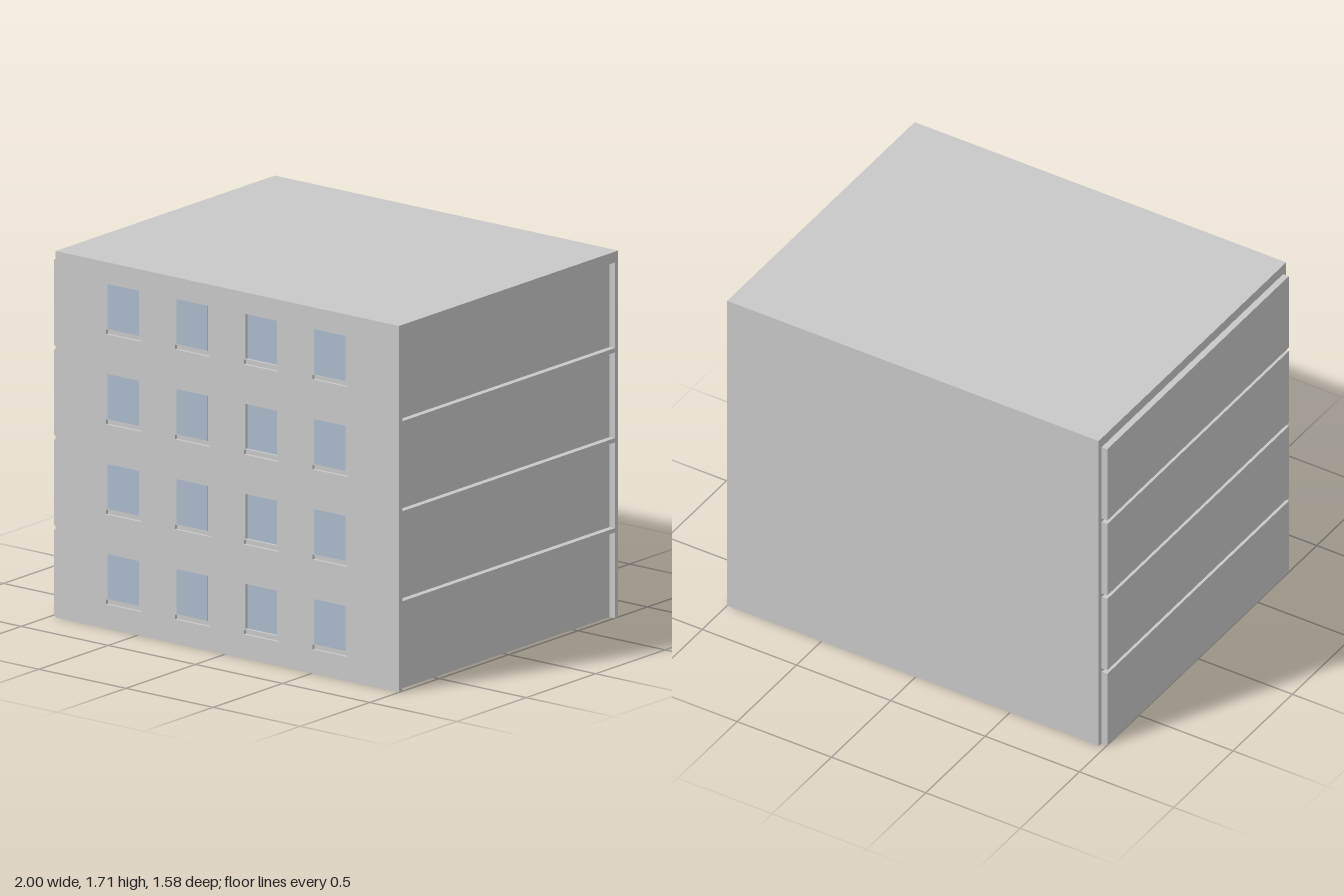
import * as THREE from 'three';

const concrete = new THREE.MeshStandardMaterial({ color: 0xc8c8c8 });
concrete.name = 'concrete';
const glass = new THREE.MeshStandardMaterial({ color: 0xabbac9 });
glass.name = 'glass';

const LEFT = -0.97, RIGHT = 1, HALF_DEPTH = 0.79, HEIGHT = 1.71;
const STOREY = 0.42, PANEL_HEIGHT = 0.4, PANEL_HALF = 0.765, STEP = 0.03;
const SKIN = 0.015, BACKING = 0.01;
const COLUMNS = [-0.58, -0.185, 0.21, 0.605];

// Box given by its limits on each axis
function block(name, [x0, x1], [y0, y1], [z0, z1], material = concrete) {
  const mesh = new THREE.Mesh(new THREE.BoxGeometry(x1 - x0, y1 - y0, z1 - z0), material);
  mesh.position.set((x0 + x1) / 2, (y0 + y1) / 2, (z0 + z1) / 2);
  mesh.name = name;
  return mesh;
}

function rectangle(PathType, x0, x1, y0, y1) {
  const path = new PathType();
  path.moveTo(x0, y0);
  path.lineTo(x1, y0);
  path.lineTo(x1, y1);
  path.lineTo(x0, y1);
  path.closePath();
  return path;
}

export function createModel() {
  const model = new THREE.Group();
  model.name = 'apartmentBlock';
  const wallTop = HEIGHT - 0.03;
  const skinBack = HALF_DEPTH - SKIN;
  const inside = [-HALF_DEPTH, skinBack];
  const rimStart = RIGHT - STEP;

  // Hollow shell, open at the bottom
  model.add(
    block('roof', [LEFT, RIGHT], [wallTop, HEIGHT], [-HALF_DEPTH, HALF_DEPTH]),
    block('backWall', [LEFT, RIGHT], [0, wallTop], [-HALF_DEPTH, -PANEL_HALF]),
    block('frontBacking', [LEFT, rimStart], [0, wallTop], [skinBack - BACKING, skinBack]),
    block('plainSideWall', [LEFT, LEFT + BACKING], [0, wallTop], inside),
    block('recessedSideWall', [rimStart - BACKING, rimStart], [0, wallTop], inside),
    block('frontCornerPost', [rimStart, RIGHT], [0, wallTop], [PANEL_HALF, skinBack])
  );

  // Raised panels on one side, matching recesses framed by bands on the other
  for (let i = 0; i < 4; i++) {
    const base = i * STOREY;
    const top = base + PANEL_HEIGHT;
    const bandTop = i === 3 ? wallTop : base + STOREY;
    model.add(
      block('raisedPanel', [LEFT - STEP, LEFT], [base, top], [-PANEL_HALF, PANEL_HALF]),
      block('recessBand', [rimStart, RIGHT], [top, bandTop], [-PANEL_HALF, PANEL_HALF])
    );
    if (i < 3) {
      model.add(block('floorSlab', [LEFT + BACKING, rimStart - BACKING], [top, bandTop],
        [-PANEL_HALF, skinBack - BACKING]));
    }
  }

  // Front skin cut by sill grooves and one column of inset windows
  const skin = rectangle(THREE.Shape, LEFT, RIGHT, 0, wallTop);
  for (let i = 0; i < 4; i++) {
    const base = i * STOREY;
    COLUMNS.forEach((x, column) => {
      const inset = column === 2;
      const z = inset ? skinBack : HALF_DEPTH;
      skin.holes.push(rectangle(THREE.Path, x - 0.1, x + 0.1, base + 0.113, base + 0.135));
      if (inset) {
        skin.holes.push(rectangle(THREE.Path, x - 0.09, x + 0.09, base + 0.14, base + 0.35));
      }
      model.add(block('windowPane', [x - 0.09, x + 0.09], [base + 0.14, base + 0.35],
        [z - 0.001, z + 0.002], glass));
    });
  }
  const front = new THREE.Mesh(
    new THREE.ExtrudeGeometry(skin, { depth: SKIN, bevelEnabled: false }), concrete);
  front.position.z = skinBack;
  front.name = 'frontWall';
  model.add(front);

  return model;
}
